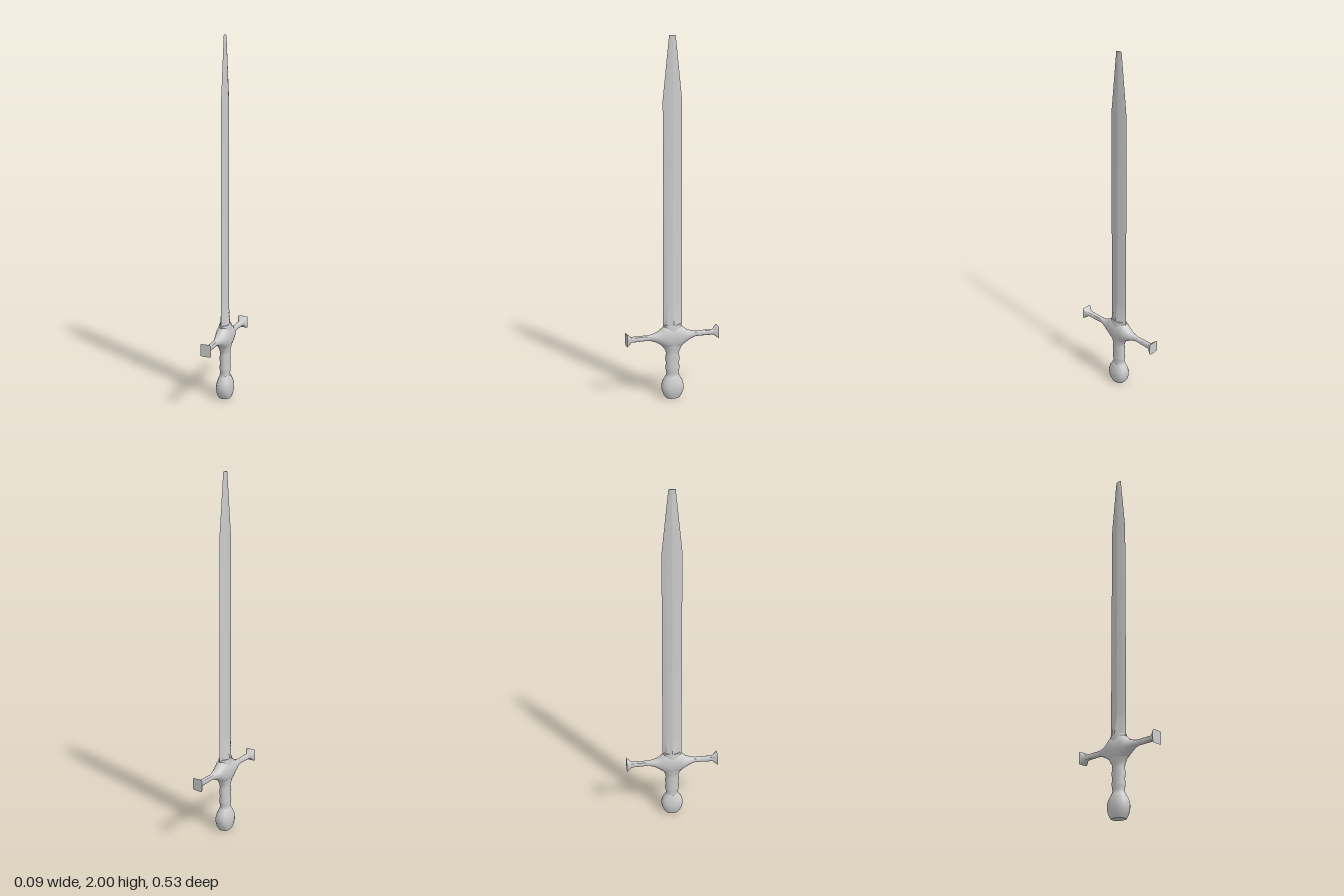
import * as THREE from 'three';
import { toCreasedNormals } from 'three/addons/utils/BufferGeometryUtils.js';

const material = new THREE.MeshStandardMaterial({ color: 0xcccccc });

// Skins superellipse rings along z. Section: [z, halfX, halfY, roundness, centreY];
// roundness 1 is a diamond, 2 an ellipse, higher is squarer.
function loft(sections, sides, crease) {
  const pos = [], index = [];
  const power = (v, n) => Math.sign(v) * Math.abs(v) ** (2 / n);
  for (const [z, a, b, n = 2, cy = 0] of sections) {
    for (let j = 0; j < sides; j++) {
      const t = (j / sides) * Math.PI * 2;
      pos.push(a * power(Math.cos(t), n), cy + b * power(Math.sin(t), n), z);
    }
  }
  const last = (sections.length - 1) * sides;
  for (let j = 0; j < sides; j++) {
    const k = (j + 1) % sides;
    for (let r = 0; r < last; r += sides) {
      index.push(r + j, r + k, r + sides + k, r + j, r + sides + k, r + sides + j);
    }
    // end caps
    if (j > 0 && j < sides - 1) index.push(0, k, j, last, last + j, last + k);
  }
  const geometry = new THREE.BufferGeometry();
  geometry.setAttribute('position', new THREE.Float32BufferAttribute(pos, 3));
  geometry.setIndex(index);
  return toCreasedNormals(geometry, crease);
}

function part(name, geometry) {
  const mesh = new THREE.Mesh(geometry, material);
  mesh.name = name;
  return mesh;
}

// Lofts run along z; this stands one upright.
const upright = (sections, sides, crease) => loft(sections, sides, crease).rotateX(-Math.PI / 2);

export function createModel() {
  const sword = new THREE.Group();
  sword.name = 'sword';

  // Blade: shallow ridged section, thick at the root, with a clipped tip
  sword.add(part('blade', upright([
    [0.40, 0.031, 0.052, 1.3],
    [0.43, 0.030, 0.055, 1.3],
    [0.49, 0.020, 0.055, 1.3],
    [0.55, 0.013, 0.055, 1.3],
    [1.67, 0.011, 0.053, 1.3],
    [2.00, 0.005, 0.018, 1.3],
  ], 8, 0.15)));

  // Collar where the blade meets the guard
  sword.add(part('collar', upright([
    [0.35, 0.036, 0.058, 2.5],
    [0.40, 0.034, 0.054, 2.5],
    [0.432, 0.030, 0.050, 2],
  ], 12, 0.9)));

  // Crossguard: swollen centre, slim arms, flared square ends
  const arm = [
    [0.265, 0.031, 0.035, 8, 0.363],
    [0.237, 0.015, 0.014, 4, 0.362],
    [0.135, 0.013, 0.015, 2.5, 0.363],
    [0.105, 0.022, 0.024, 2, 0.361],
    [0.080, 0.031, 0.036, 2, 0.359],
    [0.060, 0.036, 0.052, 2, 0.360],
    [0.042, 0.040, 0.066, 2.2, 0.361],
  ];
  const mirrored = arm.map(([z, ...rest]) => [-z, ...rest]);
  sword.add(part('crossguard', loft(
    [...mirrored, [0, 0.040, 0.074, 2.2, 0.355], ...arm.reverse()], 16, 0.9)));

  // Grip: three soft swells, flaring into the guard
  sword.add(part('grip', upright([
    [0.12, 0.031, 0.040],
    [0.14, 0.027, 0.035],
    [0.155, 0.028, 0.037],
    [0.178, 0.030, 0.042],
    [0.20, 0.027, 0.037],
    [0.23, 0.030, 0.042],
    [0.257, 0.027, 0.037],
    [0.28, 0.029, 0.041],
    [0.30, 0.032, 0.054],
    [0.33, 0.036, 0.075],
  ], 16, 1.2)));

  // Pommel: flattened bulb with a flat base
  sword.add(part('pommel', upright([
    [0, 0.034, 0.040, 2.5],
    [0.02, 0.041, 0.053, 2.5],
    [0.045, 0.045, 0.062, 2.5],
    [0.07, 0.045, 0.064, 2.5],
    [0.095, 0.041, 0.058, 2.4],
    [0.115, 0.035, 0.046, 2.2],
    [0.132, 0.029, 0.037],
  ], 16, 0.9)));

  return sword;
}
